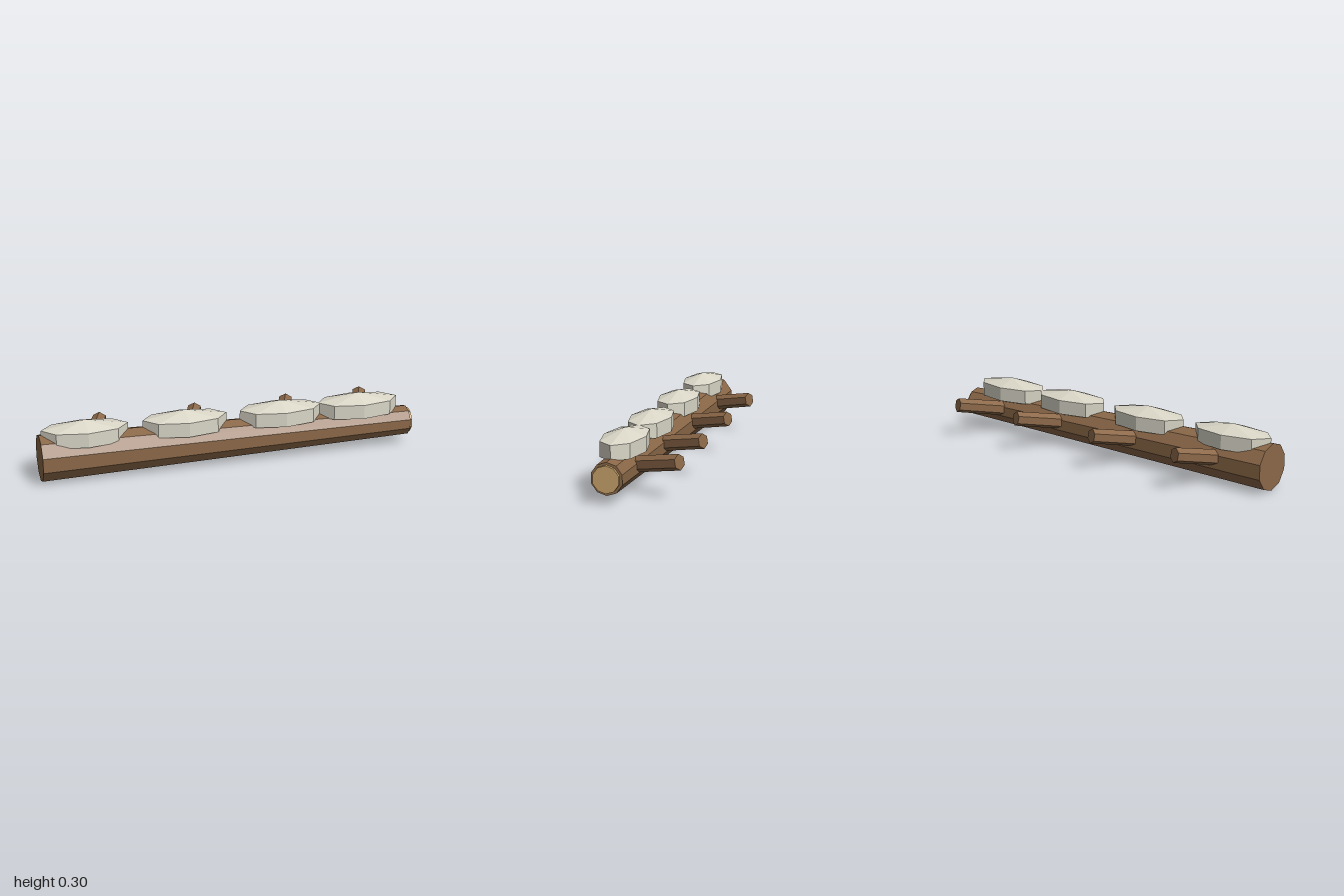
import * as THREE from 'three';

const wood = new THREE.MeshStandardMaterial({ name: 'bark brown', color: 0x8b6848 });
const cutWood = new THREE.MeshStandardMaterial({ name: 'cut wood tan', color: 0xc8a26a });
const snow = new THREE.MeshStandardMaterial({ name: 'pale snow', color: 0xdad7c8 });
for (const m of [wood, cutWood, snow]) m.flatShading = true;

const AXIS_Y = 0.125;
const AXIS_Z = 0.104;

// Ten-sided tapered cylinder lying along x, with an edge on top
function lyingCylinder(name, r0, r1, x0, x1, material) {
  const geo = new THREE.CylinderGeometry(r1, r0, x1 - x0, 10, 1, false, Math.PI / 2);
  geo.rotateZ(-Math.PI / 2);
  const mesh = new THREE.Mesh(geo, material);
  mesh.name = name;
  mesh.position.set((x0 + x1) / 2, AXIS_Y, AXIS_Z);
  return mesh;
}

export function createModel() {
  const group = new THREE.Group();
  group.name = 'snowyLog';

  group.add(lyingCylinder('trunk', 0.122, 0.08, -1, 0.985, wood));
  group.add(lyingCylinder('cutEnd', 0.067, 0.067, 0.97, 1, cutWood));

  // Hexagonal branch pointing along +z, starting at its origin
  const from = new THREE.Vector3(0, AXIS_Y, AXIS_Z);
  const to = new THREE.Vector3(0.135, 0.19, -0.204);
  const length = from.distanceTo(to);
  const branchGeo = new THREE.CylinderGeometry(0.039, 0.041, length, 6);
  branchGeo.rotateX(Math.PI / 2).translate(0, 0, length / 2);

  // Faceted mound: low sphere stretched along the trunk
  const moundGeo = new THREE.SphereGeometry(1, 8, 3).scale(0.257, 0.075, 0.123);

  [-0.766, -0.246, 0.272, 0.704].forEach((x, i) => {
    const branch = new THREE.Mesh(branchGeo, wood);
    branch.name = `branch${i + 1}`;
    branch.position.set(x, from.y, from.z);
    branch.lookAt(x + to.x, to.y, to.z);

    const mound = new THREE.Mesh(moundGeo, snow);
    mound.name = `snowMound${i + 1}`;
    mound.position.set(x, 0.2325, AXIS_Z);
    group.add(branch, mound);
  });

  return group;
}
